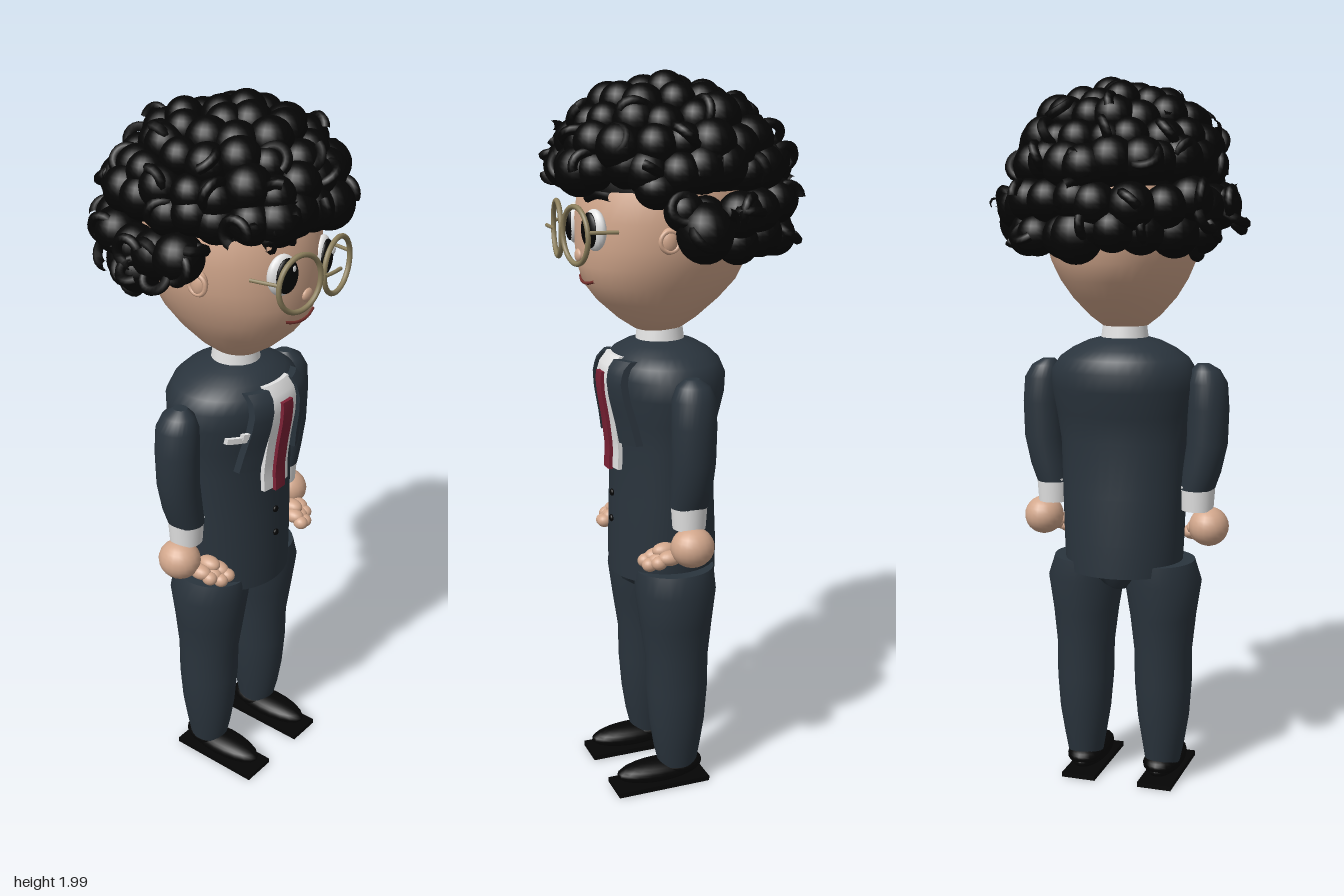
import * as THREE from 'three';

const mat = (name, color) => {
  const m = new THREE.MeshStandardMaterial({ color });
  m.name = name;
  return m;
};

// Cross-section rows, bottom to top: [y, centre x, centre z, half width, half depth]
const HEAD = [
  [1.308, 0, 0.05, 0.03, 0.03], [1.32, 0, 0.05, 0.06, 0.065], [1.35, 0, 0.05, 0.098, 0.11],
  [1.4, 0, 0.048, 0.142, 0.168], [1.45, 0, 0.043, 0.173, 0.211], [1.5, 0, 0.038, 0.196, 0.23],
  [1.55, 0, 0.034, 0.211, 0.238], [1.62, 0, 0.03, 0.219, 0.242], [1.69, 0, 0.025, 0.214, 0.236],
  [1.76, 0, 0.02, 0.19, 0.21], [1.82, 0, 0.02, 0.14, 0.155], [1.86, 0, 0.02, 0.05, 0.05]];
const JACKET = [
  [0.63, 0, 0.04, 0.168, 0.15], [0.72, 0, 0.04, 0.173, 0.149], [0.85, 0, 0.041, 0.178, 0.143],
  [1.0, 0, 0.042, 0.184, 0.136], [1.08, 0, 0.039, 0.195, 0.148], [1.15, 0, 0.036, 0.207, 0.163],
  [1.2, 0, 0.036, 0.207, 0.166], [1.235, 0, 0.038, 0.183, 0.154], [1.26, 0, 0.04, 0.147, 0.13],
  [1.28, 0, 0.042, 0.105, 0.096], [1.292, 0, 0.043, 0.06, 0.06]];
const ARM = [
  [0.87, 0.214, 0.042, 0.048, 0.052], [0.92, 0.226, 0.04, 0.054, 0.056], [1.0, 0.241, 0.04, 0.057, 0.059],
  [1.1, 0.243, 0.04, 0.058, 0.061], [1.17, 0.24, 0.04, 0.056, 0.059], [1.205, 0.235, 0.04, 0.04, 0.045],
  [1.222, 0.228, 0.04, 0.018, 0.02]];
const LEG = [
  [0.06, 0.118, 0.038, 0.05, 0.056], [0.12, 0.119, 0.04, 0.061, 0.068], [0.2, 0.119, 0.04, 0.074, 0.08],
  [0.3, 0.118, 0.04, 0.082, 0.088], [0.4, 0.117, 0.04, 0.083, 0.09], [0.5, 0.116, 0.042, 0.094, 0.103],
  [0.6, 0.115, 0.043, 0.11, 0.115], [0.66, 0.105, 0.042, 0.1, 0.112]];
const HIPS = [[0.58, 0, 0.05, 0.035, 0.08], [0.6, 0, 0.045, 0.055, 0.115], [0.66, 0, 0.04, 0.15, 0.135]];

// Closed skin over elliptical rows; end rows are doubled to keep the caps crisp
function loft(rows, seg = 28) {
  const first = rows[0], last = rows[rows.length - 1];
  const flat = r => [r[0], r[1], r[2], 0, 0];
  const all = [flat(first), first, ...rows, last, flat(last)];
  const pos = [], idx = [];
  all.forEach(([y, cx, cz, rx, rz], j) => {
    for (let i = 0; i < seg; i++) {
      const a = i / seg * Math.PI * 2;
      pos.push(cx + rx * Math.sin(a), y, cz + rz * Math.cos(a));
      if (j === all.length - 1) continue;
      const p = j * seg + i, q = j * seg + (i + 1) % seg;
      idx.push(p, q, q + seg, p, q + seg, p + seg);
    }
  });
  const g = new THREE.BufferGeometry();
  g.setAttribute('position', new THREE.Float32BufferAttribute(pos, 3));
  g.setIndex(idx);
  g.computeVertexNormals();
  return g;
}

// Depth of a lofted body's front surface at (x, y)
function frontZ(rows, x, y) {
  let k = 0;
  while (k < rows.length - 2 && rows[k + 1][0] < y) k++;
  const a = rows[k], b = rows[k + 1];
  const t = THREE.MathUtils.clamp((y - a[0]) / (b[0] - a[0]), 0, 1);
  const at = i => a[i] + (b[i] - a[i]) * t;
  return at(2) + at(4) * Math.sqrt(Math.max(0, 1 - (x / at(3)) ** 2));
}

// Cloth strip that follows the jacket front; lean shifts its lower end sideways
function strip(x, y0, y1, width, thick, lift, lean = 0) {
  const g = new THREE.BoxGeometry(width, y1 - y0, thick, 4, 12, 1);
  const p = g.attributes.position;
  for (let i = 0; i < p.count; i++) {
    const y = p.getY(i) + (y0 + y1) / 2;
    const px = p.getX(i) + x + lean * (y1 - y) / (y1 - y0);
    p.setXYZ(i, px, y, p.getZ(i) + lift + frontZ(JACKET, px, y));
  }
  g.computeVertexNormals();
  return g;
}

function seeded(s) {
  return () => (s = (s * 16807) % 2147483647) / 2147483647;
}

export function createModel() {
  const model = new THREE.Group();
  const skin = mat('skin', 0xd2a78c), suit = mat('suit navy', 0x2a343d), black = mat('hair and shoe black', 0x050505);
  const white = mat('shirt white', 0xe2e2e2), red = mat('tie red', 0x7c2135), gold = mat('frame brass', 0x8c7f5c);
  const lip = mat('lip', 0x74302c);

  const add = (name, geo, m, x = 0, y = 0, z = 0, parent = model) => {
    const o = new THREE.Mesh(geo, m);
    o.name = name;
    o.position.set(x, y, z);
    parent.add(o);
    return o;
  };
  const ball = (name, m, x, y, z, rx, ry = rx, rz = rx, parent = model) => {
    const o = add(name, new THREE.SphereGeometry(1, 20, 14), m, x, y, z, parent);
    o.scale.set(rx, ry, rz);
    return o;
  };
  const tube = (name, m, pts, r) => add(name, new THREE.TubeGeometry(
    new THREE.CatmullRomCurve3(pts.map(p => new THREE.Vector3(...p))), 16, r, 8), m);

  // Head, torso and clothes
  add('head', loft(HEAD, 40), skin);
  add('jacket', loft(JACKET, 40), suit);
  add('hips', loft(HIPS), suit);
  add('collar', new THREE.CylinderGeometry(0.062, 0.068, 0.045, 32), white, 0, 1.3, 0.043);
  add('shirtFront', strip(0, 0.94, 1.255, 0.106, 0.012, 0.006), white);
  add('tie', strip(0, 0.935, 1.21, 0.042, 0.012, 0.016), red);
  add('pocketSquare', strip(-0.13, 1.12, 1.138, 0.068, 0.012, 0.01), white);
  add('pocketSquareFold', strip(-0.115, 1.13, 1.148, 0.038, 0.012, 0.012), white);
  for (const y of [0.785, 0.86]) ball('button', black, 0, y, frontZ(JACKET, 0, y) + 0.003, 0.01, 0.01, 0.006);

  // Nose and mouth
  ball('nose', skin, 0, 1.525, frontZ(HEAD, 0, 1.525), 0.02, 0.018, 0.01);
  tube('mouth', lip, [-0.06, -0.03, 0, 0.03, 0.06].map(x => {
    const y = 1.452 + 3 * x * x;
    return [x, y, frontZ(HEAD, x, y) + 0.002];
  }), 0.004);

  // Paired parts
  for (const s of [-1, 1]) {
    const side = rows => rows.map(([y, x, ...r]) => [y, x * s, ...r]);
    add('sleeve', loft(side(ARM)), suit);
    add('cuff', new THREE.CylinderGeometry(0.05, 0.045, 0.07, 24), white, s * 0.214, 0.845, 0.042);
    add('trouserLeg', loft(side(LEG)), suit);
    add('lapel', strip(s * 0.078, 1.025, 1.25, 0.056, 0.02, 0.012, s * 0.027), suit);

    // Hand with curled fingers
    ball('palm', skin, s * 0.247, 0.764, 0.045, 0.056, 0.055, 0.06);
    [[0.225, 0.733, 0.1], [0.2, 0.722, 0.118], [0.176, 0.727, 0.122], [0.192, 0.745, 0.105]].forEach(([x, y, z], i) => {
      ball('finger', skin, s * x, y, z, 0.024, 0.021, 0.034);
      if (i < 3) ball('fingertip', skin, s * (x - 0.004), y - 0.012, z + 0.03, 0.02, 0.019, 0.022);
    });

    // Shoe
    add('sole', new THREE.BoxGeometry(0.1, 0.014, 0.275), black, s * 0.115, 0.007, 0.093);
    ball('shoeUpper', black, s * 0.115, 0.042, 0.093, 0.05, 0.032, 0.128);
    ball('shoeHeel', black, s * 0.116, 0.055, 0.03, 0.052, 0.03, 0.066);

    // Eye, brow and ear
    const ez = frontZ(HEAD, 0.085, 1.597);
    ball('eyeWhite', white, s * 0.085, 1.6, ez, 0.044, 0.054, 0.022).rotation.y = s * 0.3;
    ball('iris', black, s * 0.084, 1.6, ez + 0.014, 0.035, 0.046, 0.013).rotation.y = s * 0.25;
    ball('eyeGlint', white, s * 0.084 + 0.013, 1.616, ez + 0.025, 0.009, 0.011, 0.004);
    tube('eyebrow', black, [[0.05, 1.678], [0.085, 1.69], [0.125, 1.686]].map(([x, y]) =>
      [s * x, y, frontZ(HEAD, x, y) + 0.004]), 0.012);
    ball('ear', skin, s * 0.217, 1.58, 0.1, 0.018, 0.034, 0.024);
    add('earRim', new THREE.TorusGeometry(0.026, 0.006, 8, 20), skin, s * 0.226, 1.58, 0.1).rotation.y = Math.PI / 2;

    // Glasses
    add('glassesRim', new THREE.TorusGeometry(0.073, 0.007, 10, 36), gold, s * 0.079, 1.588, 0.303).rotation.y = s * 0.15;
    tube('glassesArm', gold, [[s * 0.15, 1.602, 0.295], [s * 0.158, 1.602, 0.255], [s * 0.165, 1.602, 0.215]], 0.005);
  }
  tube('glassesBridge', gold, [[-0.033, 1.604, 0.345], [0, 1.604, 0.347], [0.033, 1.604, 0.345]], 0.005);

  // Hair: a scalp cap, rings of round tufts, and loose curls
  const hair = new THREE.Group();
  hair.name = 'hair';
  model.add(hair);
  const cap = add('scalp', new THREE.SphereGeometry(1, 28, 14, 0, Math.PI * 2, 0, Math.PI / 2), black, 0, 1.7, 0.02, hair);
  cap.scale.set(0.235, 0.235, 0.265);
  const rnd = seeded(77), jit = k => (rnd() - 0.5) * k;
  const curlGeo = new THREE.TorusGeometry(0.034, 0.013, 7, 14, 4.6);
  const curl = (x, y, z) => add('curl', curlGeo, black, x, y, z, hair).rotation.set(jit(6), jit(6), jit(6));
  // [height, half width, half depth, centre z, count, foremost z]
  const rings = [[1.58, 0.245, 0.27, -0.005, 20, 0.0], [1.655, 0.262, 0.275, 0, 22, 0.08],
    [1.755, 0.235, 0.268, 0.012, 24, 1], [1.812, 0.218, 0.242, 0.028, 20, 1],
    [1.868, 0.175, 0.195, 0.035, 15, 1], [1.908, 0.115, 0.135, 0.04, 10, 1], [1.93, 0.04, 0.045, 0.04, 4, 1]];
  rings.forEach(([y, rx, rz, cz, n, zMax], j) => {
    for (let i = 0; i < n; i++) {
      const a = (i + (j % 2) * 0.5) / n * Math.PI * 2 + jit(0.12), q = 1 + jit(0.12);
      const x = q * rx * Math.sin(a), z = cz + q * rz * Math.cos(a);
      const h = y + jit(0.025), size = 0.05 + rnd() * 0.016;
      if (z > zMax) continue;
      ball('tuft', black, x, h, z, size, size, size, hair);
      if (i % 2 === 0 && j < 5) curl(x * 1.13, h + (j > 2 ? 0.02 : 0.01), cz + (z - cz) * 1.13);
    }
  });
  // Side bunches
  ball('sideTuft', black, 0.285, 1.605, 0.03, 0.078, 0.077, 0.072, hair);
  ball('sideTuft', black, 0.22, 1.71, 0.13, 0.055, 0.05, 0.06, hair);
  ball('sideTuft', black, 0.03, 1.57, -0.27, 0.07, 0.07, 0.06, hair);
  [[0.325, 1.63, 0.0], [0.325, 1.6, 0.05], [-0.32, 1.66, -0.04], [-0.325, 1.62, -0.02], [-0.31, 1.61, 0.04],
    [-0.29, 1.64, 0.09], [-0.27, 1.69, 0.12], [-0.23, 1.74, 0.22], [-0.19, 1.73, 0.27], [-0.24, 1.55, -0.1],
    [0.3, 1.66, -0.08], [-0.28, 1.62, -0.15]].forEach(c => curl(...c));

  return model;
}
